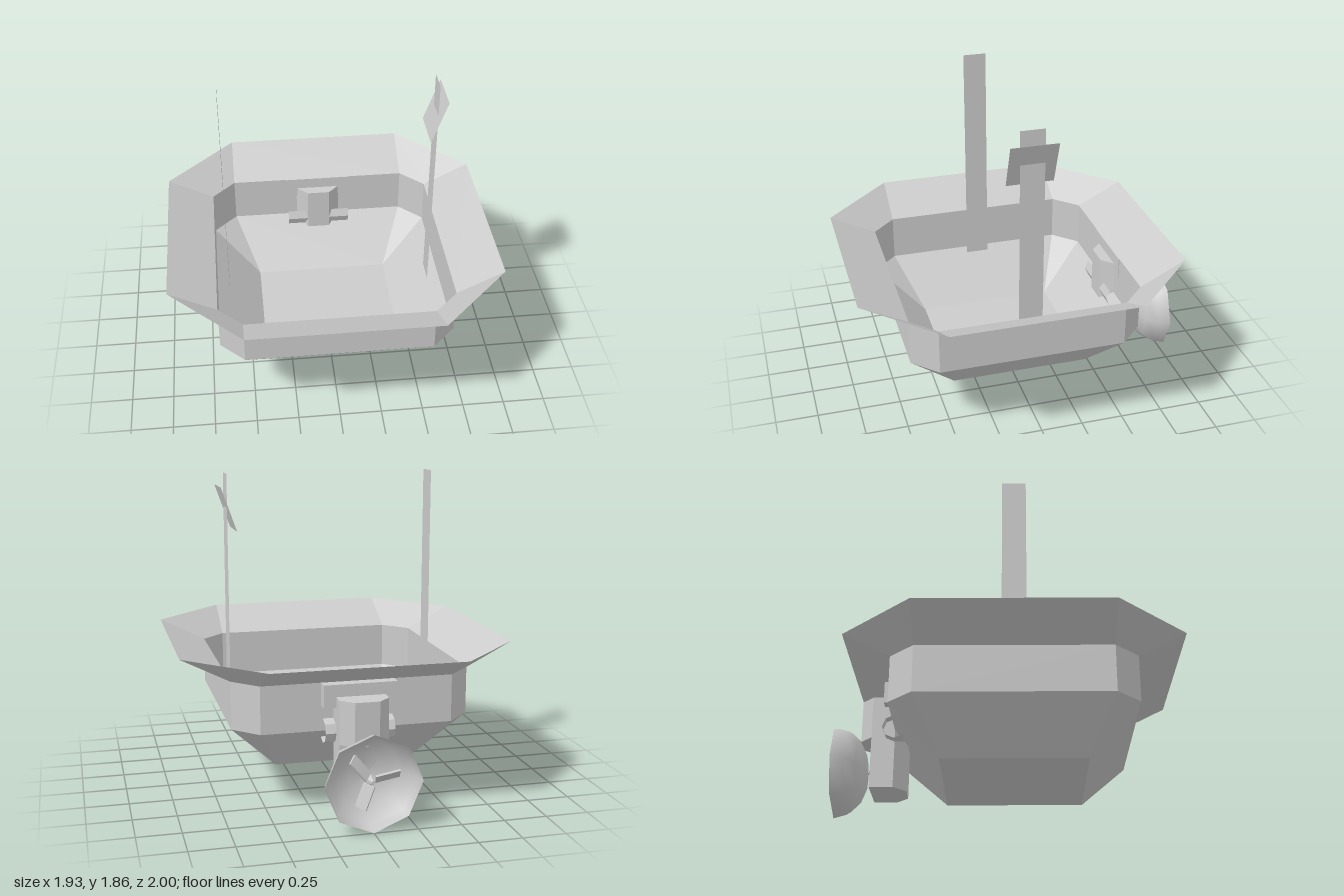
import * as THREE from 'three';

const flat = new THREE.MeshStandardMaterial({ color: 0xcccccc, flatShading: true, side: THREE.DoubleSide });
const smooth = new THREE.MeshStandardMaterial({ color: 0xcccccc, side: THREE.DoubleSide });

function part(parent, name, geometry, x = 0, y = 0, z = 0, material = flat) {
  const mesh = new THREE.Mesh(geometry, material);
  mesh.name = name;
  mesh.position.set(x, y, z);
  parent.add(mesh);
  return mesh;
}

// Rectangle with cut corners as 8 points; cx and cz are the corner cuts
function ring(y, hx, back, front, cx, cz) {
  return [
    [hx, front - cz], [hx, back + cz], [hx - cx, back], [-hx + cx, back],
    [-hx, back + cz], [-hx, front - cz], [-hx + cx, front], [hx - cx, front],
  ].map(([x, z]) => new THREE.Vector3(x, y, z));
}

// Thin hull surface through a stack of rings, closed at the first ring
function hullGeometry(rings) {
  const pts = [];
  const tri = (a, b, c) => {
    if (a.equals(b) || b.equals(c) || a.equals(c)) return;
    pts.push(a, b, c);
  };
  for (let r = 0; r < rings.length - 1; r++) {
    const lo = rings[r], hi = rings[r + 1];
    for (let i = 0; i < 8; i++) {
      const j = (i + 1) % 8;
      tri(lo[i], lo[j], hi[j]);
      tri(lo[i], hi[j], hi[i]);
    }
  }
  for (let i = 1; i < 7; i++) tri(rings[0][0], rings[0][i + 1], rings[0][i]);
  const g = new THREE.BufferGeometry().setFromPoints(pts);
  g.computeVertexNormals();
  return g;
}

// Upright prism from an x,z outline
function prism(outline, height) {
  const shape = new THREE.Shape(outline.map(([x, z]) => new THREE.Vector2(x, -z)));
  return new THREE.ExtrudeGeometry(shape, { depth: height, bevelEnabled: false }).rotateX(-Math.PI / 2);
}

export function createModel() {
  const model = new THREE.Group();
  model.name = 'boat';

  // Basin: floor, sloped bilge, upright wall and flared rim
  part(model, 'hull', hullGeometry([
    ring(0.21, 0.413, -0.378, 0.445, 0, 0),
    ring(0.485, 0.69, -0.655, 0.725, 0.14, 0.14),
    ring(0.76, 0.69, -0.655, 0.725, 0.14, 0.14),
    ring(0.9, 0.965, -0.93, 1.0, 0.415, 0.415),
  ]));

  // Thin upright posts on both sides
  for (const side of [1, -1]) {
    const post = part(model, side > 0 ? 'leftPost' : 'rightPost',
      new THREE.PlaneGeometry(0.14, 1.38), side * 0.617, 1.17, 0.035);
    post.rotation.y = side * Math.PI / 2;
  }

  // Tilted plate on the left post
  const plate = part(model, 'tiltedPlate',
    new THREE.PlaneGeometry(0.27, 0.27).rotateY(Math.PI / 2), 0.615, 1.66, 0.035);
  plate.rotation.z = -Math.atan2(0.09, 0.255);

  // Motor at the stern
  const motor = new THREE.Group();
  motor.name = 'motor';
  model.add(motor);
  part(motor, 'bracket', new THREE.BoxGeometry(0.42, 0.13, 0.07), 0, 0.695, -0.685);
  part(motor, 'column', prism([
    [-0.07, -0.585], [0.07, -0.585], [0.14, -0.655], [0.14, -0.79], [-0.14, -0.79], [-0.14, -0.655],
  ], 0.55), 0, 0.14, 0);
  part(motor, 'columnBack', prism([
    [0.14, -0.79], [0.07, -0.857], [-0.07, -0.857], [-0.14, -0.79],
  ], 0.25), 0, 0.44, 0);

  // Open pivot tube, with one face left out at the top front
  part(motor, 'pivotTube', new THREE.CylinderGeometry(0.07, 0.07, 0.4, 7, 1, true, Math.PI / 2, Math.PI * 1.75)
    .rotateZ(Math.PI / 2), 0, 0.485, -0.655);

  // Eight-sided bowl opening to the rear
  const profile = [];
  for (let i = 0; i <= 4; i++) {
    const a = (i / 4) * Math.PI / 2;
    profile.push(new THREE.Vector2(Math.max(0.275 * Math.sin(a), 0.0001), 0.187 * Math.cos(a)));
  }
  part(motor, 'propellerBowl', new THREE.LatheGeometry(profile, 8).rotateX(Math.PI / 2),
    0, 0.275, -1, smooth);

  // Propeller: shaft, hub and three pitched blades
  const propeller = new THREE.Group();
  propeller.name = 'propeller';
  propeller.position.set(0, 0.275, -0.93);
  motor.add(propeller);
  part(propeller, 'shaft', new THREE.CylinderGeometry(0.015, 0.015, 0.12, 6).rotateX(Math.PI / 2), 0, 0, 0.06);
  part(propeller, 'hub', new THREE.CylinderGeometry(0.03, 0.012, 0.06, 6).rotateX(Math.PI / 2), 0, 0, -0.015);
  for (let i = 0; i < 3; i++) {
    const arm = new THREE.Group();
    arm.name = 'blade';
    arm.rotation.z = THREE.MathUtils.degToRad(50 + i * 120);
    propeller.add(arm);
    const blade = part(arm, 'bladePlate', new THREE.BoxGeometry(0.14, 0.07, 0.012), 0.095, 0, 0);
    blade.rotation.x = 0.75;
  }
  return model;
}
